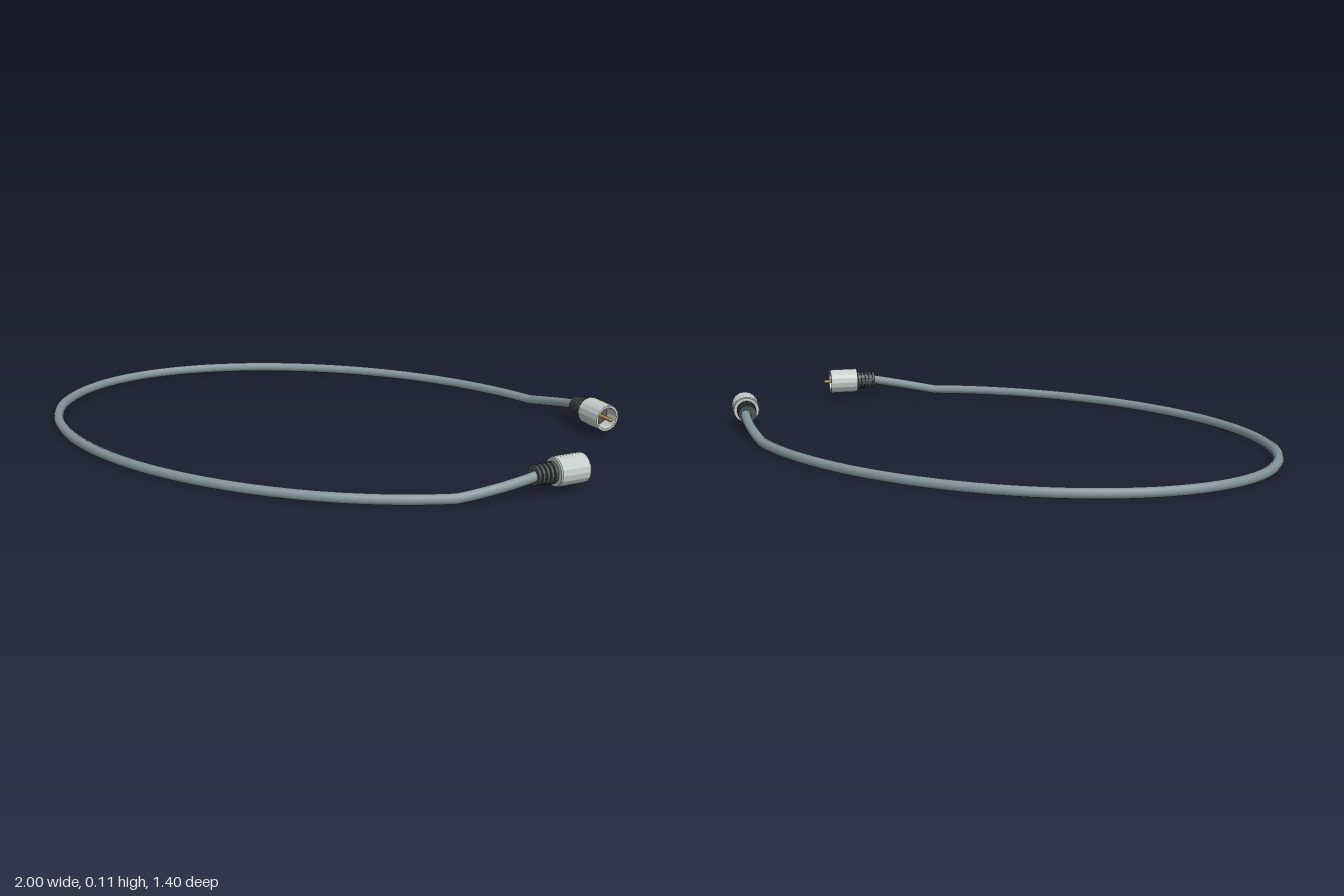
import * as THREE from 'three';

const CABLE_R = 0.018, PLUG_Y = 0.065;
const paint = (color, flatShading = false) => new THREE.MeshStandardMaterial({ color, flatShading });
const cableMat = paint(0x82949a);
const shellMat = paint(0xc4ccc8, true);
const bootMat = paint(0x4a5252, true);
const pinMat = paint(0xb08d4a);
const coreMat = paint(0x5c5a50);

// Open elliptical loop lying on the floor, both ends lifted up to the plugs
class LoopCurve extends THREE.Curve {
  getPoint(t, target = new THREE.Vector3()) {
    const end = 0.6, lift = 0.9;
    const u = end + t * (2 * Math.PI - 2 * end);
    const fromEnd = Math.min(u, 2 * Math.PI - u);
    const k = Math.max(0, (lift - fromEnd) / (lift - end));
    return target.set(0.02 + 1.002 * Math.cos(u), CABLE_R + (PLUG_Y - CABLE_R) * k, 0.68 * Math.sin(u));
  }
}

function lathe(name, profile, segments, material) {
  const points = profile.map(([r, y]) => new THREE.Vector2(r, y));
  const mesh = new THREE.Mesh(new THREE.LatheGeometry(points, segments), material);
  mesh.name = name;
  return mesh;
}

// Plug along +y: ribbed boot, hollow shell, insulator and centre pin
function makePlug(name) {
  const plug = new THREE.Group();
  plug.name = name;

  const boot = [[0, 0]];
  const ribs = 5, step = 0.074 / ribs;
  for (let i = 0; i < ribs; i++) {
    const y = i * step, r = 0.032 + 0.0008 * i;
    boot.push([r, y], [r, y + step * 0.65], [r - 0.005, y + step * 0.7], [r - 0.005, y + step]);
  }
  plug.add(lathe('strainRelief', boot, 16, bootMat));

  plug.add(lathe('shell', [
    [0, 0.072], [0.045, 0.072], [0.048, 0.076], [0.048, 0.177], [0.046, 0.18],
    [0.038, 0.18], [0.037, 0.178], [0.037, 0.125], [0, 0.125],
  ], 16, shellMat));

  plug.add(lathe('insulator', [[0.036, 0.125], [0.036, 0.13], [0, 0.13]], 16, coreMat));

  plug.add(lathe('pin', [
    [0.007, 0.128], [0.007, 0.2], [0.004, 0.205], [0, 0.206],
  ], 10, pinMat));
  return plug;
}

export function createModel() {
  const model = new THREE.Group();
  model.name = 'cable';

  const cord = new THREE.Mesh(new THREE.TubeGeometry(new LoopCurve(), 120, CABLE_R, 8), cableMat);
  cord.name = 'cord';
  model.add(cord);

  // One plug on each end, turned inwards by 45 degrees
  for (const s of [1, -1]) {
    const plug = makePlug(s > 0 ? 'frontPlug' : 'backPlug');
    plug.position.set(0.838, PLUG_Y, 0.384 * s);
    plug.quaternion.setFromUnitVectors(new THREE.Vector3(0, 1, 0), new THREE.Vector3(1, 0, -s).normalize());
    model.add(plug);
  }
  return model;
}
